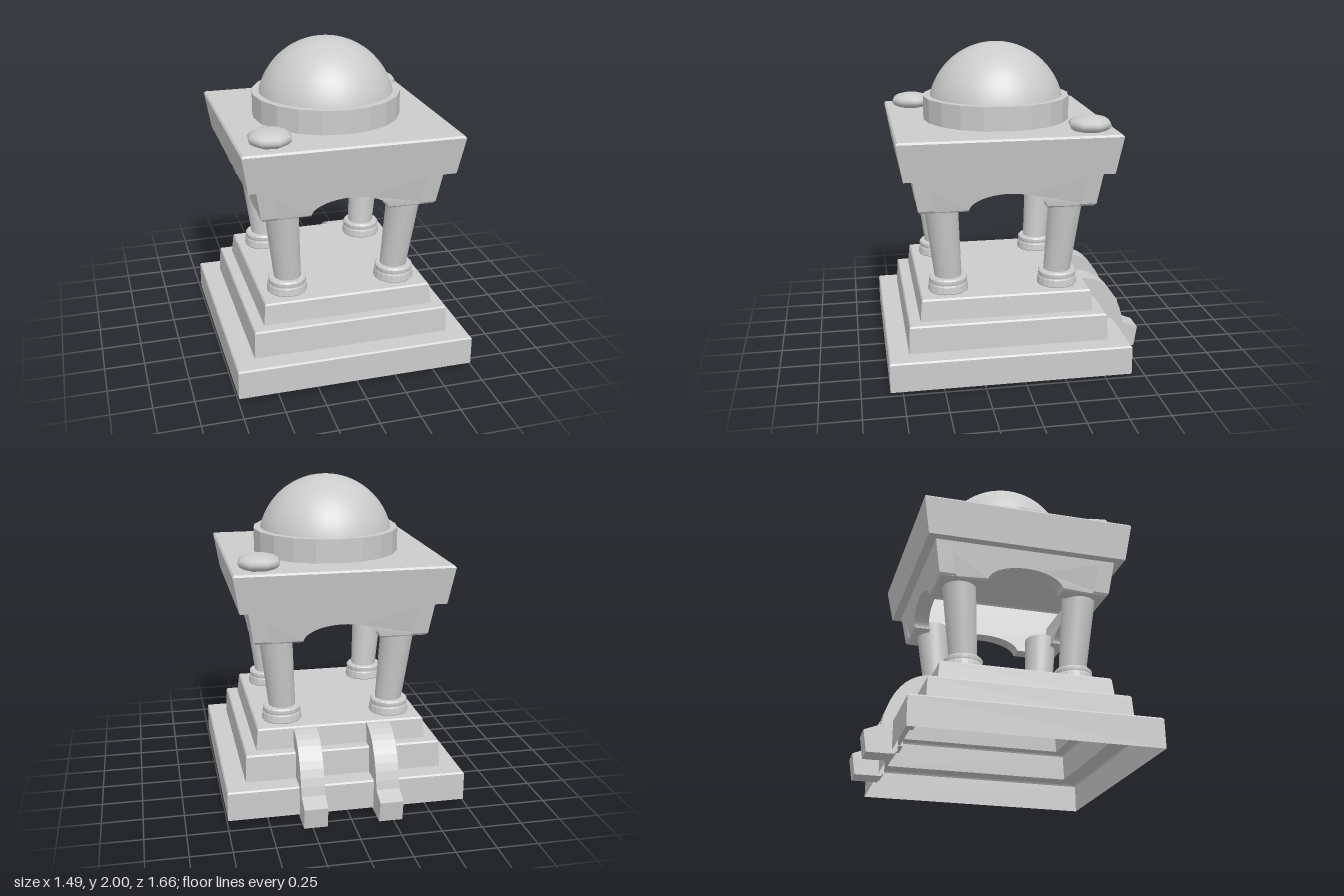
import * as THREE from 'three';

const CENTRE_Z = 0.082;

export function createModel() {
  const model = new THREE.Group();
  const smooth = new THREE.MeshStandardMaterial({ color: 0xcccccc, side: THREE.DoubleSide });
  const flat = new THREE.MeshStandardMaterial({ color: 0xcccccc, side: THREE.DoubleSide, flatShading: true });

  const add = (name, geometry, material, x = 0, y = 0, z = CENTRE_Z) => {
    const mesh = new THREE.Mesh(geometry, material);
    mesh.name = name;
    mesh.position.set(x, y, z);
    model.add(mesh);
    return mesh;
  };

  // Square shell with a profile of [half width, height] points
  const squareShell = (profile) => new THREE.LatheGeometry(
    profile.map(([half, y]) => new THREE.Vector2(half * Math.SQRT2, y)), 4, Math.PI / 4);

  // Stepped base, hollow and open below
  add('steppedBase', squareShell([
    [0.745, 0.02], [0.745, 0.195], [0.738, 0.205], [0.62, 0.205],
    [0.612, 0.365], [0.605, 0.375], [0.54, 0.375],
    [0.528, 0.5], [0.52, 0.51], [0, 0.51],
  ]), flat);

  // Flared roof block, open below
  add('roofBlock', squareShell([
    [0.5, 1.28], [0.63, 1.28], [0.668, 1.51], [0.658, 1.522], [0, 1.522],
  ]), flat, 0, 0, 0.078);

  // Four arched walls leaning outward under the roof
  const wallShape = new THREE.Shape();
  wallShape.moveTo(-0.53, 1.06);
  wallShape.lineTo(-0.24, 1.06);
  wallShape.absellipse(0, 1.06, 0.24, 0.105, Math.PI, 0, true);
  wallShape.lineTo(0.53, 1.06);
  wallShape.lineTo(0.542, 1.075);
  wallShape.lineTo(0.575, 1.28);
  wallShape.lineTo(-0.575, 1.28);
  wallShape.lineTo(-0.542, 1.075);
  const wall = new THREE.ExtrudeGeometry(wallShape, { depth: 0.1, bevelEnabled: false, curveSegments: 14 });
  const wallPos = wall.attributes.position;
  for (let i = 0; i < wallPos.count; i++) {
    const y = wallPos.getY(i);
    const outer = y < 1.07 ? 0.53 : 0.542 + (y - 1.075) * 0.161;
    wallPos.setZ(i, wallPos.getZ(i) > 0.05 ? outer : outer - 0.1);
  }
  wall.computeVertexNormals();
  for (let i = 0; i < 4; i++) {
    add('archedWall', wall, flat, 0, 0, 0.078).rotation.y = i * Math.PI / 2;
  }

  // Leaning pillars with ringed feet
  const footProfile = [[0, 0.5], [0.118, 0.5], [0.127, 0.515], [0.122, 0.555], [0.117, 0.565],
    [0.119, 0.575], [0.119, 0.592], [0.11, 0.602], [0, 0.602]].map(([r, y]) => new THREE.Vector2(r, y));
  const foot = new THREE.LatheGeometry(footProfile, 20);
  for (const sx of [-1, 1]) {
    for (const sz of [-1, 1]) {
      const pillar = new THREE.CylinderGeometry(0.108, 0.084, 0.56, 20);
      const lean = new THREE.Matrix4().makeShear(0, 0, 0.088 * sx, 0.088 * sz, 0, 0);
      pillar.applyMatrix4(lean);
      pillar.computeVertexNormals();
      add('pillar', pillar, smooth, 0.37 * sx, 0.86, CENTRE_Z + 0.37 * sz);
      add('pillarFoot', foot, flat, 0.35 * sx, 0, CENTRE_Z + 0.348 * sz);
    }
  }

  // Drum and dome
  add('domeDrum', new THREE.CylinderGeometry(0.463, 0.463, 0.2, 20), flat, 0, 1.57, 0.068);
  add('dome', new THREE.SphereGeometry(0.43, 40, 16, 0, Math.PI * 2, 0, Math.PI * 0.44),
    smooth, 0, 1.57, 0.068);

  // Low rounded stones on two opposite roof corners
  const stone = new THREE.SphereGeometry(0.135, 8, 8);
  stone.scale(1, 0.4, 1);
  for (const [x, z, turn] of [[-0.47, 0.572, 0.25], [0.495, -0.422, 0.25]]) {
    add('roofStone', stone, smooth, x, 1.56, z).rotation.y = turn;
  }

  // Curved buttresses down the back steps, profile drawn as (-z, y)
  const buttressShape = new THREE.Shape();
  buttressShape.moveTo(0.43, 0.37);
  buttressShape.lineTo(0.43, 0.503);
  buttressShape.bezierCurveTo(0.6, 0.503, 0.7, 0.36, 0.73, 0.17);
  buttressShape.lineTo(0.83, 0.13);
  buttressShape.lineTo(0.81, 0);
  buttressShape.lineTo(0.65, 0);
  buttressShape.lineTo(0.63, 0.02);
  buttressShape.lineTo(0.63, 0.2);
  buttressShape.lineTo(0.52, 0.2);
  buttressShape.lineTo(0.52, 0.37);
  const buttress = new THREE.ExtrudeGeometry(buttressShape, { depth: 0.145, bevelEnabled: false, curveSegments: 10 });
  buttress.translate(0, 0, -0.0725);
  buttress.rotateY(Math.PI / 2);
  for (const sx of [-1, 1]) {
    add('backButtress', buttress, flat, 0.2325 * sx, 0, 0);
  }

  return model;
}
